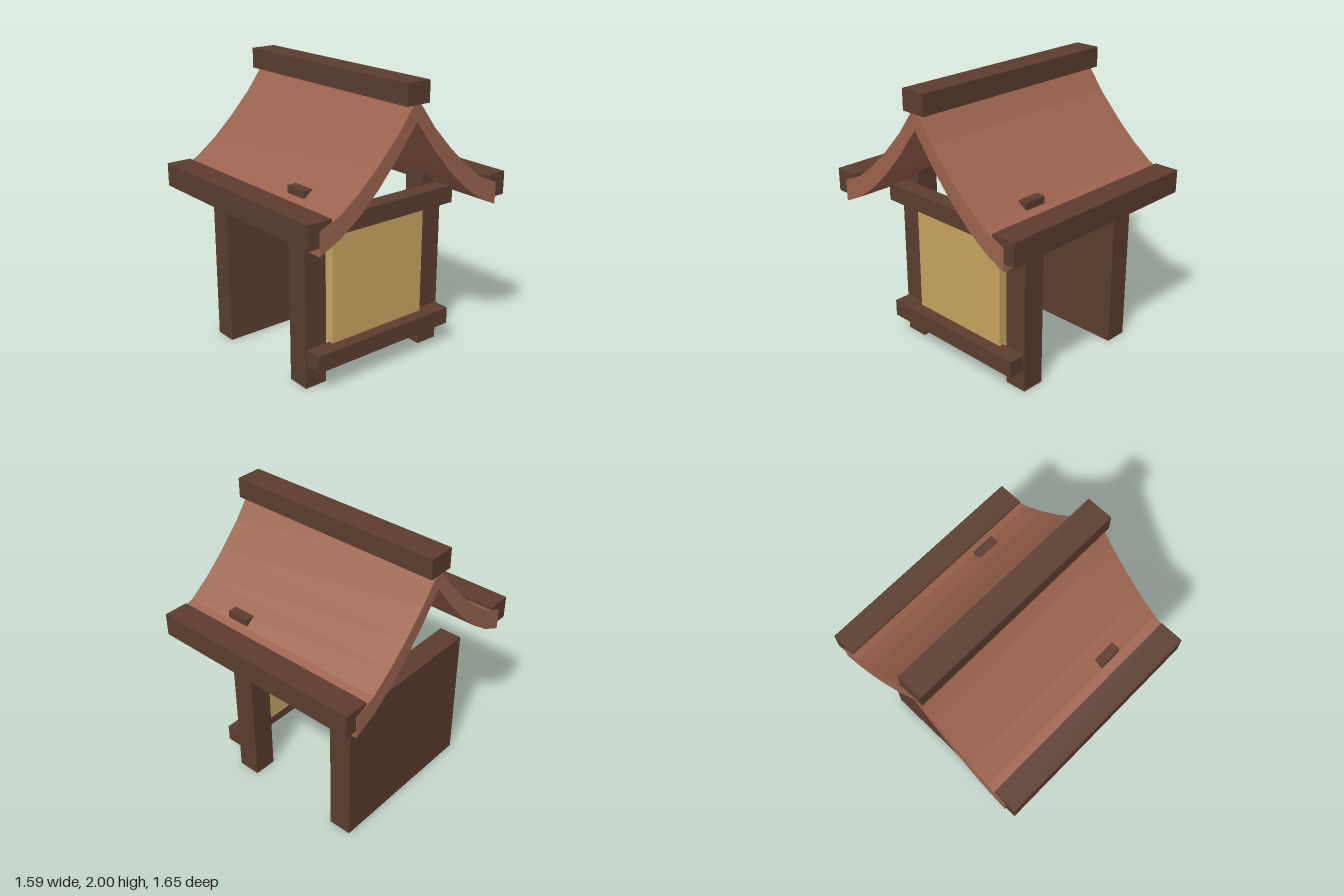
import * as THREE from 'three';

const mat = (name, color) => {
  const m = new THREE.MeshStandardMaterial({ color });
  m.name = name;
  return m;
};

export function createModel() {
  const group = new THREE.Group();
  const wood = mat('dark wood', 0x5c3d2e);
  const clay = mat('clay roof', 0x9b644d);
  const paper = mat('tan panel', 0xc8a560);

  // Box given by its lower and upper limits on each axis
  const box = (name, material, [x0, x1], [y0, y1], [z0, z1]) => {
    const mesh = new THREE.Mesh(new THREE.BoxGeometry(x1 - x0, y1 - y0, z1 - z0), material);
    mesh.position.set((x0 + x1) / 2, (y0 + y1) / 2, (z0 + z1) / 2);
    mesh.name = name;
    group.add(mesh);
  };

  // Solid wall on one side
  box('sideWall', wood, [-0.605, -0.44], [0, 1], [-0.583, 0.583]);

  // Posts that pierce the roof, and eave beams, front and back
  for (const [side, s] of [['front', 1], ['back', -1]]) {
    const span = (a, b) => (s > 0 ? [a, b] : [-b, -a]);
    box(side + 'Post', wood, [0.27, 0.435], [0, 1.35], span(0.418, 0.583));
    box(side + 'EaveBeam', wood, [-0.785, 0.785], [1.13, 1.29], span(0.65, 0.825));
  }

  // Panel held between two rails
  box('panel', paper, [0.39, 0.47], [0.28, 1.065], [-0.39, 0.39]);
  box('lowerRail', wood, [0.435, 0.557], [0.16, 0.28], [-0.573, 0.573]);
  box('upperRail', wood, [0.435, 0.557], [1.065, 1.187], [-0.573, 0.573]);

  // Curved gable roof: half profiles [z, y] from ridge to eave, mirrored
  const outer = [[0, 1.9], [0.15, 1.7], [0.3, 1.54], [0.445, 1.405], [0.59, 1.295], [0.742, 1.23]];
  const inner = [[0, 1.755], [0.15, 1.56], [0.3, 1.39], [0.445, 1.255], [0.59, 1.15], [0.742, 1.077]];
  const mirror = (pts) => pts.slice(1).map(([z, y]) => [-z, y]);
  const outline = [
    ...[...outer].reverse(), ...mirror(outer),
    ...mirror(inner).reverse(), ...inner,
  ].map(([z, y]) => new THREE.Vector2(z, y));
  const length = 1.576;
  const roofGeo = new THREE.ExtrudeGeometry(new THREE.Shape(outline), { depth: length, bevelEnabled: false });
  roofGeo.translate(0, 0, -length / 2).rotateY(-Math.PI / 2);
  const roof = new THREE.Mesh(roofGeo, clay);
  roof.name = 'roof';
  group.add(roof);

  // Ridge beam
  box('ridgeBeam', wood, [-0.796, 0.796], [1.86, 2], [-0.092, 0.092]);

  return group;
}
